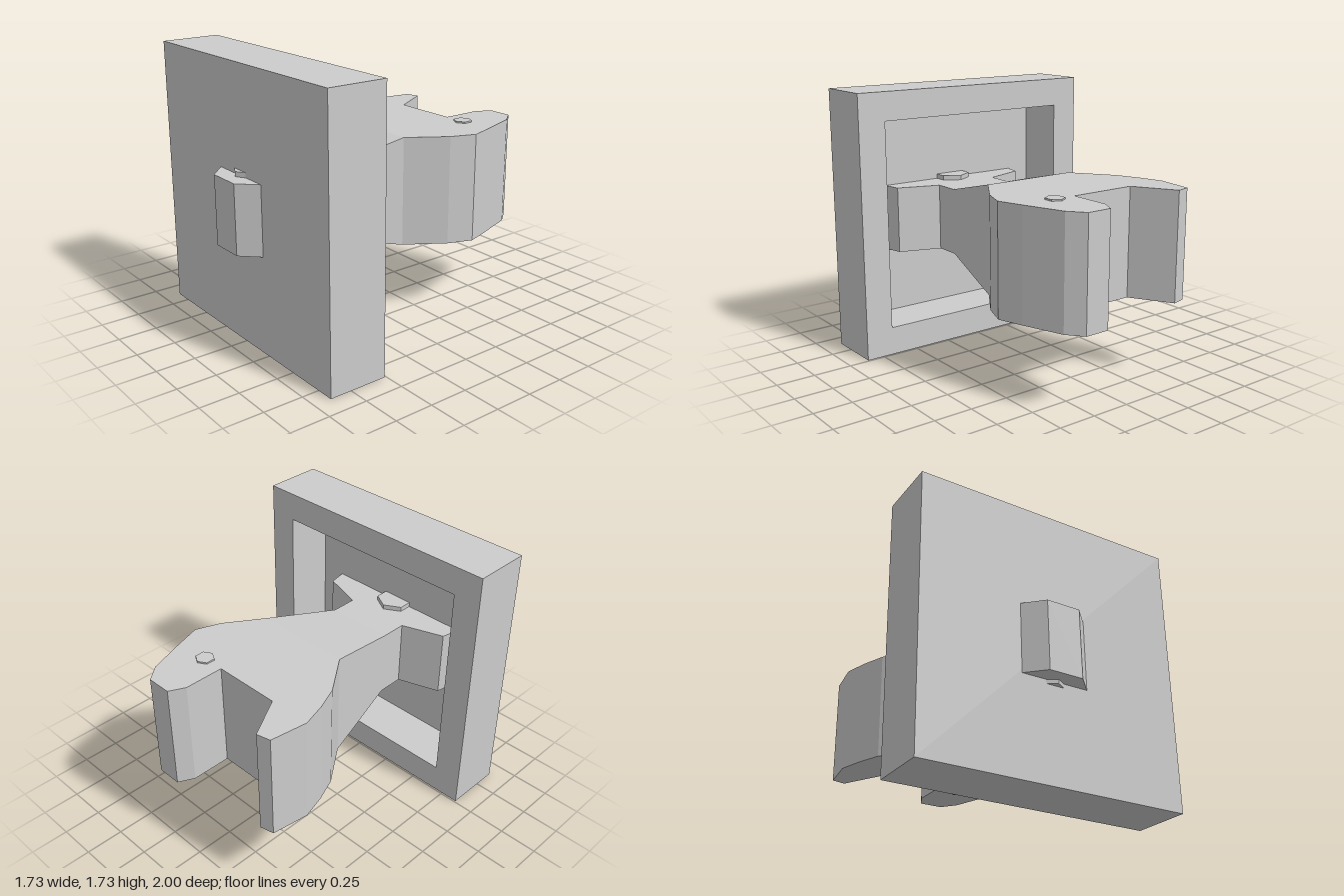
import * as THREE from 'three';

export function createModel() {
  const model = new THREE.Group();
  const grey = new THREE.MeshStandardMaterial({ color: 0xcccccc });
  grey.name = 'plain grey';

  const add = (name, geometry) => {
    const mesh = new THREE.Mesh(geometry, grey);
    mesh.name = name;
    model.add(mesh);
    return mesh;
  };

  // Prism standing on y0, from an outline of [x, z] points
  const prism = (name, outline, y0, y1) => {
    const shape = new THREE.Shape(outline.map(([x, z]) => new THREE.Vector2(x, -z)));
    const geometry = new THREE.ExtrudeGeometry(shape, { depth: y1 - y0, bevelEnabled: false });
    geometry.rotateX(-Math.PI / 2).translate(0, y0, 0);
    return add(name, geometry);
  };

  // Hexagon pin with its corners pointing along z
  const pin = (name, x, z, radius, y0, y1) => {
    const outline = [];
    for (let i = 0; i < 6; i++) {
      const a = i * Math.PI / 3;
      outline.push([x + radius * Math.sin(a), z + radius * Math.cos(a)]);
    }
    prism(name, outline, y0, y1);
  };

  // Wall plate: thin front sheet with a deep frame behind it
  const half = 0.865, inner = 0.68, midY = 0.865;
  add('plateSheet', new THREE.BoxGeometry(half * 2, half * 2, 0.06)).position.set(0, midY, 0.86);
  const square = (Type, r) => new Type([[-r, -r], [r, -r], [r, r], [-r, r]]
    .map(([x, y]) => new THREE.Vector2(x, y)));
  const frame = square(THREE.Shape, half);
  frame.holes.push(square(THREE.Path, inner));
  add('plateFrame', new THREE.ExtrudeGeometry(frame, { depth: 0.32, bevelEnabled: false }))
    .position.set(0, midY, 0.51);

  // Open jaw head
  prism('jawHead', [
    [-0.32, -0.08], [0.32, -0.08], [0.48, -0.32], [0.54, -0.48], [0.49, -0.64],
    [0.4, -0.9], [0.32, -1], [0.16, -1], [0.11, -0.9], [0.11, -0.64],
    [-0.33, -0.64], [-0.48, -0.9], [-0.57, -0.88], [-0.605, -0.64],
    [-0.56, -0.48], [-0.5, -0.33],
  ], 0.493, 1.195);
  pin('jawPin', 0.255, -0.64, 0.06, 0.483, 1.205);

  // Tapered neck: a box whose front end is narrowed
  const neck = new THREE.BoxGeometry(0.64, 0.702, 0.53);
  const p = neck.attributes.position;
  for (let i = 0; i < p.count; i++) {
    if (p.getZ(i) > 0) p.setXY(i, Math.sign(p.getX(i)) * 0.22, Math.sign(p.getY(i)) * 0.22);
  }
  const taper = neck.toNonIndexed();
  taper.computeVertexNormals();
  add('neck', taper).position.set(0, 0.844, 0.185);

  // Winged tail, passing through the plate to a blunt nose
  const side = [[0.22, 0.45], [0.22, 0.62], [0.49, 0.71], [0.52, 0.86], [0.25, 0.86], [0.11, 1]];
  const mirrored = side.map(([x, z]) => [-x, z]).reverse();
  prism('tail', [...side, ...mirrored], 0.624, 1.064);
  pin('tailPin', 0, 0.805, 0.12, 0.598, 1.095);

  return model;
}
